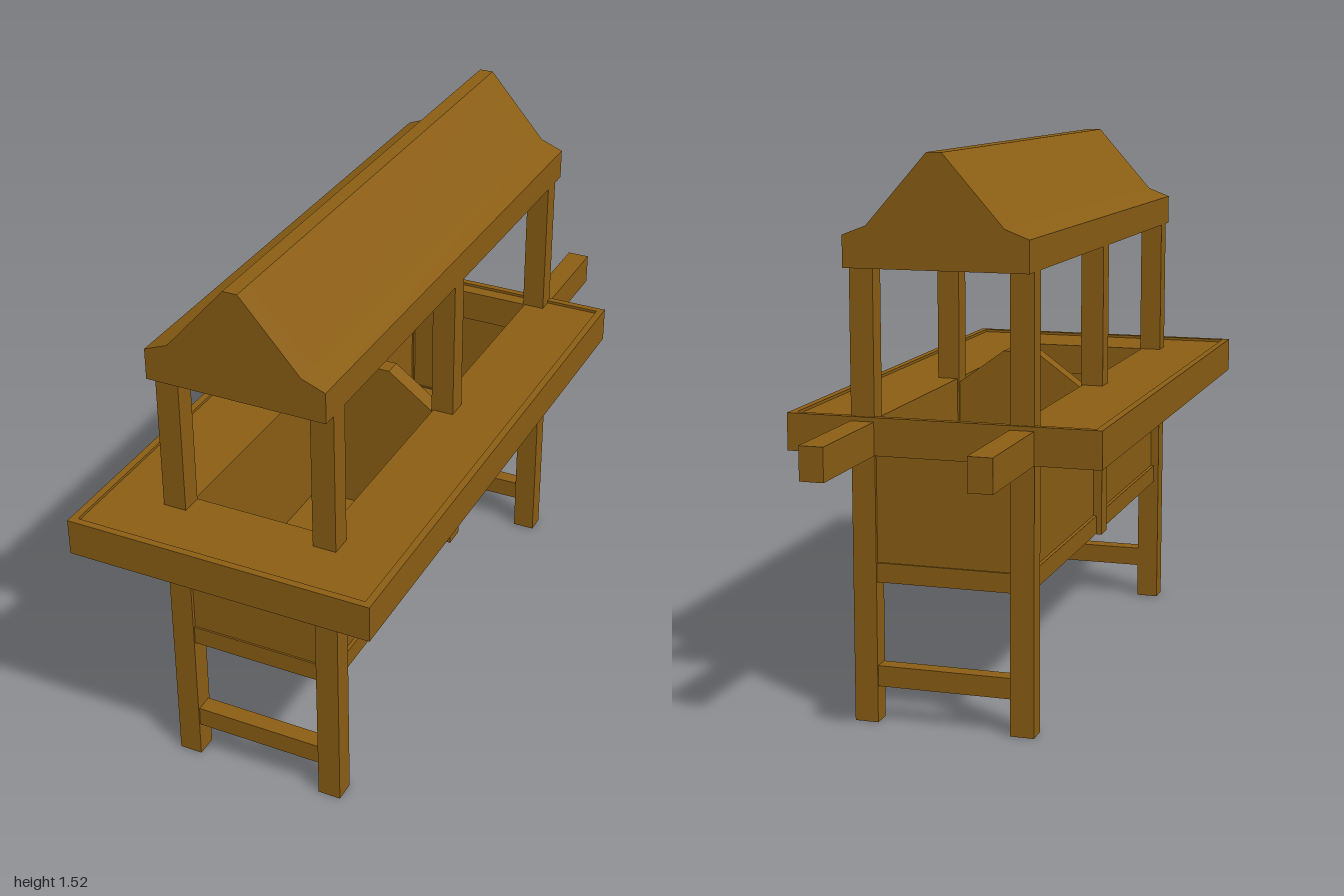
import * as THREE from 'three';

export function createModel() {
  const group = new THREE.Group();
  group.name = 'marketStall';
  const wood = new THREE.MeshStandardMaterial({ color: 0x8b5e14 });

  const add = (name, geometry) => {
    const mesh = new THREE.Mesh(geometry, wood);
    mesh.name = name;
    group.add(mesh);
    return mesh;
  };
  // Box given by its extents on each axis
  const box = (name, x0, x1, y0, y1, z0, z1) => {
    const g = new THREE.BoxGeometry(x1 - x0, y1 - y0, z1 - z0);
    g.translate((x0 + x1) / 2, (y0 + y1) / 2, (z0 + z1) / 2);
    return add(name, g);
  };
  // Outline in x and y, extruded from z0 to z1
  const slab = (name, points, z0, z1) => {
    const shape = new THREE.Shape(points.map(([x, y]) => new THREE.Vector2(x, y)));
    const g = new THREE.ExtrudeGeometry(shape, { depth: z1 - z0, bevelEnabled: false });
    g.translate(0, 0, z0);
    return add(name, g);
  };
  // Rectangular ring lying flat, from y0 to y1; outer and inner are [x, zBack, zFront]
  const ring = (name, outer, inner, y0, y1) => {
    const rect = ([x, zb, zf]) => [[-x, -zf], [x, -zf], [x, -zb], [-x, -zb]]
      .map(([a, b]) => new THREE.Vector2(a, b));
    const shape = new THREE.Shape(rect(outer));
    shape.holes.push(new THREE.Path(rect(inner).reverse()));
    const g = new THREE.ExtrudeGeometry(shape, { depth: y1 - y0, bevelEnabled: false });
    g.rotateX(-Math.PI / 2);
    g.translate(0, y0, 0);
    return add(name, g);
  };

  // Posts, handles, side rails and side panels on both sides
  for (const s of [-1, 1]) {
    const side = (name, a, b, ...rest) =>
      box(name, Math.min(s * a, s * b), Math.max(s * a, s * b), ...rest);
    side('frontPost', 0.185, 0.25, 0, 1.24, 0.76, 0.82);
    side('middlePost', 0.185, 0.25, 0.385, 1.24, 0.03, 0.09);
    side('backPost', 0.185, 0.25, 0, 1.24, -0.655, -0.6);
    side('handle', 0.185, 0.25, 0.73, 0.82, -1, -0.62);
    side('sideRail', 0.185, 0.235, 0.387, 0.44, -0.6, 0.76);
    side('sidePanel', 0.19, 0.225, 0.44, 0.74, -0.6, 0.76);
  }

  // Front and back: foot rung, bin rail and end panel
  for (const [z0, z1] of [[0.76, 0.82], [-0.655, -0.6]]) {
    box('footRung', -0.19, 0.19, 0.1, 0.157, z0 + 0.005, z1 - 0.005);
    box('endRail', -0.19, 0.19, 0.387, 0.44, z0 + 0.005, z1 - 0.005);
    box('endPanel', -0.19, 0.19, 0.44, 0.74, z0 + 0.01, z1 - 0.01);
  }

  // Bin floor and peaked divider between the middle posts
  box('binFloor', -0.19, 0.19, 0.387, 0.44, -0.6, 0.76);
  slab('binDivider', [[-0.19, 0.44], [0.19, 0.44], [0.19, 0.81], [0.05, 0.912],
    [-0.05, 0.912], [-0.19, 0.81]], 0.035, 0.085);

  // Counter around the open bin, with a slim raised lip
  ring('counter', [0.43, -0.66, 1], [0.19, -0.6, 0.76], 0.73, 0.824);
  ring('counterLip', [0.43, -0.66, 1], [0.41, -0.64, 0.98], 0.824, 0.832);

  // Roof: hollow shell along the length, closed by a gable at each end
  const roof = [[0.25, 1.225], [0.25, 1.31], [0.185, 1.335], [0.02, 1.522]];
  const mirror = (pts) => pts.map(([x, y]) => [-x, y]).reverse();
  const outer = [...roof, ...mirror(roof)];
  const inner = [[-0.19, 1.225], [-0.19, 1.29], [0, 1.48], [0.19, 1.29], [0.19, 1.225]];
  slab('roof', [...outer, ...inner], -0.64, 0.8);
  slab('frontGable', outer, 0.8, 0.86);
  slab('backGable', outer, -0.7, -0.64);

  return group;
}
